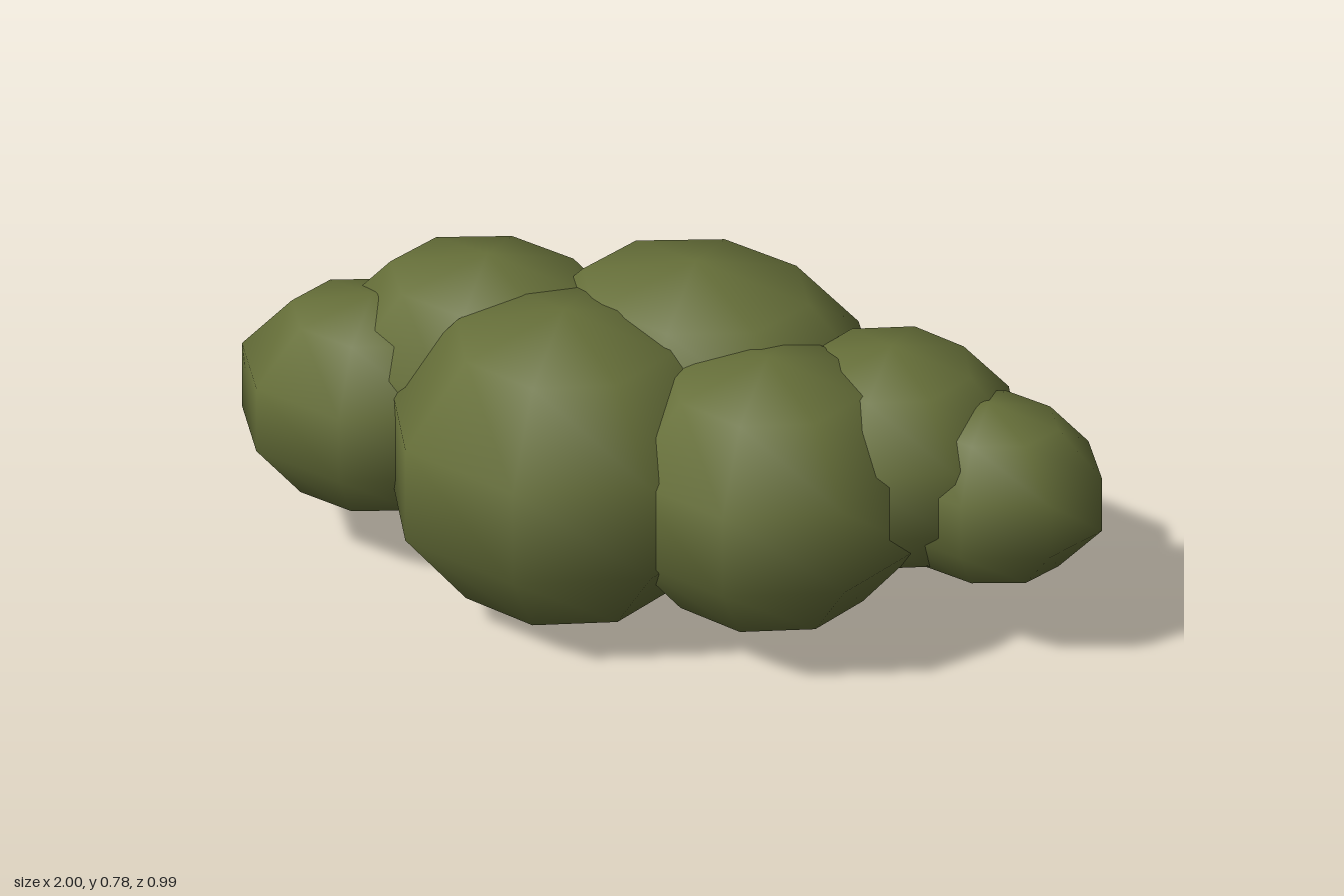
import * as THREE from 'three';

export function createModel() {
  const group = new THREE.Group();
  group.name = 'bush';
  const foliage = new THREE.MeshStandardMaterial({ color: 0x666f39 });
  foliage.name = 'olive foliage';

  // One coarse, smooth-shaded ball, stretched into every leaf clump
  const ball = new THREE.SphereGeometry(1, 8, 5);

  // name, centre, radii
  const clumps = [
    ['frontCentreClump', [-0.21, 0.378, 0.11], [0.425, 0.378, 0.405]],
    ['frontLeftClump', [0.26, 0.378, 0.095], [0.378, 0.328, 0.357]],
    ['backCentreClump', [0.02, 0.425, -0.14], [0.45, 0.355, 0.37]],
    ['backRightClump', [-0.45, 0.43, -0.09], [0.385, 0.315, 0.315]],
    ['leftClump', [0.5, 0.425, -0.06], [0.315, 0.265, 0.3]],
    ['leftEndClump', [0.735, 0.379, -0.035], [0.278, 0.218, 0.22]],
    ['rightEndClump', [-0.695, 0.378, -0.015], [0.32, 0.262, 0.268]],
  ];
  for (const [name, centre, radii] of clumps) {
    const mesh = new THREE.Mesh(ball, foliage);
    mesh.name = name;
    mesh.position.set(...centre);
    mesh.scale.set(...radii);
    group.add(mesh);
  }
  return group;
}
